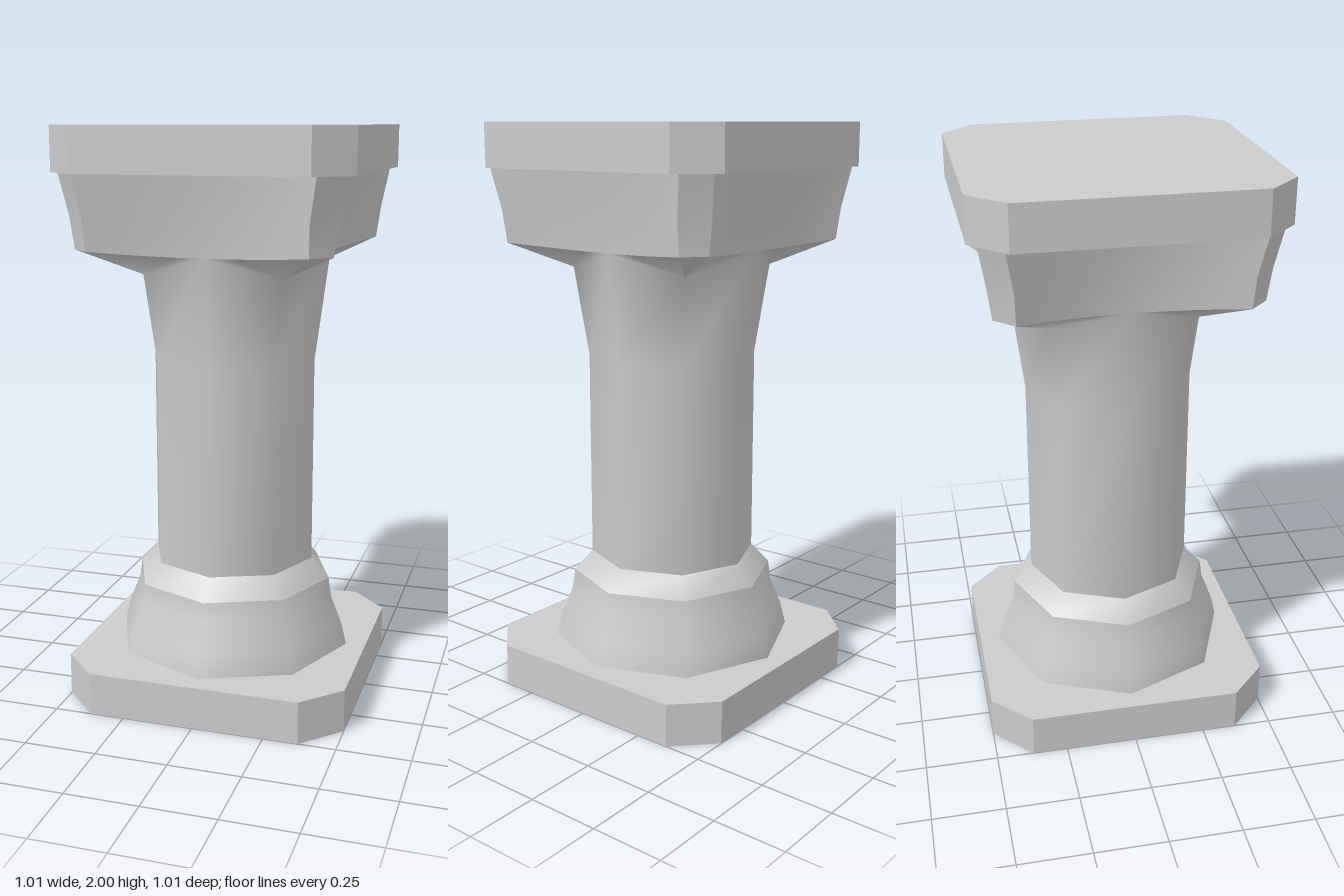
import * as THREE from 'three';
import { mergeVertices, mergeGeometries } from 'three/addons/utils/BufferGeometryUtils.js';

const material = new THREE.MeshStandardMaterial({ color: 0xcccccc });
const V = (x, y, z) => new THREE.Vector3(x, y, z);

// Skin over rows of points, bottom row first, each row running left to right seen from outside
function skin(rows) {
  const points = rows.flat(), n = rows[0].length, index = [];
  for (let i = 0; i < rows.length - 1; i++) {
    for (let j = 0; j < n - 1; j++) {
      const a = i * n + j, b = a + 1, c = b + n, d = a + n;
      index.push(a, b, c, a, c, d);
    }
  }
  const geometry = new THREE.BufferGeometry().setFromPoints(points);
  geometry.setIndex(index);
  return geometry;
}

// Shared corners give smooth normals
function smooth(geometry) {
  const g = mergeVertices(geometry, 1e-4);
  g.computeVertexNormals();
  return g;
}

// Eight-sided ring with corners on the axes and diagonals
const ring = (y, r, yDiagonal = y) => Array.from({ length: 9 }, (_, i) => {
  const a = (i % 8) * Math.PI / 4;
  return V(r * Math.sin(a), i % 2 ? yDiagonal : y, r * Math.cos(a));
});

// Square slab with chamfered corners
function slab(half, corner, y, height) {
  const h = half, c = corner;
  const shape = new THREE.Shape([[c, -h], [h, -c], [h, c], [c, h], [-c, h], [-h, c], [-h, -c], [-c, -h]]
    .map(([x, z]) => new THREE.Vector2(x, z)));
  return new THREE.ExtrudeGeometry(shape, { depth: height, bevelEnabled: false })
    .rotateX(-Math.PI / 2).translate(0, y, 0);
}

// Front edge of the capital at one level: hollowed inward and dipping in the middle
const SEGMENTS = 8;
const levels = [
  { y: 1.6, half: 0.435, corner: 0.37, hollow: 0.09, dip: 0.02 },
  { y: 1.71, half: 0.45, corner: 0.375, hollow: 0.09, dip: 0.01 },
  { y: 1.85, half: 0.475, corner: 0.4, hollow: 0.085, dip: 0 },
];
const edge = ({ y, half, corner, hollow, dip }) => Array.from({ length: SEGMENTS + 1 }, (_, i) => {
  const t = 2 * i / SEGMENTS - 1, k = 1 - t * t;
  return V(corner * t, y - dip * k, half - hollow * k);
});

export function createModel() {
  const group = new THREE.Group();
  const add = (name, geometry, turn = 0) => {
    const mesh = new THREE.Mesh(geometry, material);
    mesh.name = name;
    mesh.rotation.y = turn * Math.PI / 2;
    group.add(mesh);
  };

  add('plinth', slab(0.5, 0.37, 0, 0.15));
  add('topSlab', slab(0.505, 0.39, 1.85, 0.15));

  // Base mouldings
  add('baseMoulding', smooth(skin([ring(0.15, 0.43), ring(0.23, 0.41), ring(0.33, 0.37), ring(0.4, 0.36)])));
  add('baseCollar', smooth(skin([ring(0.4, 0.36), ring(0.47, 0.295)])));

  // Shaft flaring at the top, blending into the underside of the capital
  const rim = edge(levels[0]);
  const neck = 0.345 * Math.SQRT1_2, mid = SEGMENTS / 2;
  const neckRight = V(neck, 1.51, neck), neckLeft = V(-neck, 1.51, neck);
  const pieces = [skin([ring(0.47, 0.295), ring(1.2, 0.295), ring(1.58, 0.345, 1.51)])];
  for (let q = 0; q < 4; q++) {
    for (const [tip, part] of [[neckLeft, rim.slice(0, mid + 1)], [neckRight, rim.slice(mid)]]) {
      pieces.push(skin([part.map(() => tip), part]).rotateY(q * Math.PI / 2));
    }
  }
  add('shaft', smooth(mergeGeometries(pieces)));

  // Capital: four hollow sides and four chamfered corners
  const side = smooth(skin(levels.map(edge)));
  const chamfer = smooth(skin(levels.map(({ y, half, corner }) => [V(corner, y, half), V(half, y, corner)])));
  const { y, half, corner } = levels[0];
  const under = new THREE.BufferGeometry().setFromPoints([neckRight, V(half, y, corner), V(corner, y, half)]);
  under.computeVertexNormals();
  for (let q = 0; q < 4; q++) {
    add('capitalSide', side, q);
    add('capitalCorner', chamfer, q);
    add('capitalCornerUnderside', under, q);
  }
  return group;
}
